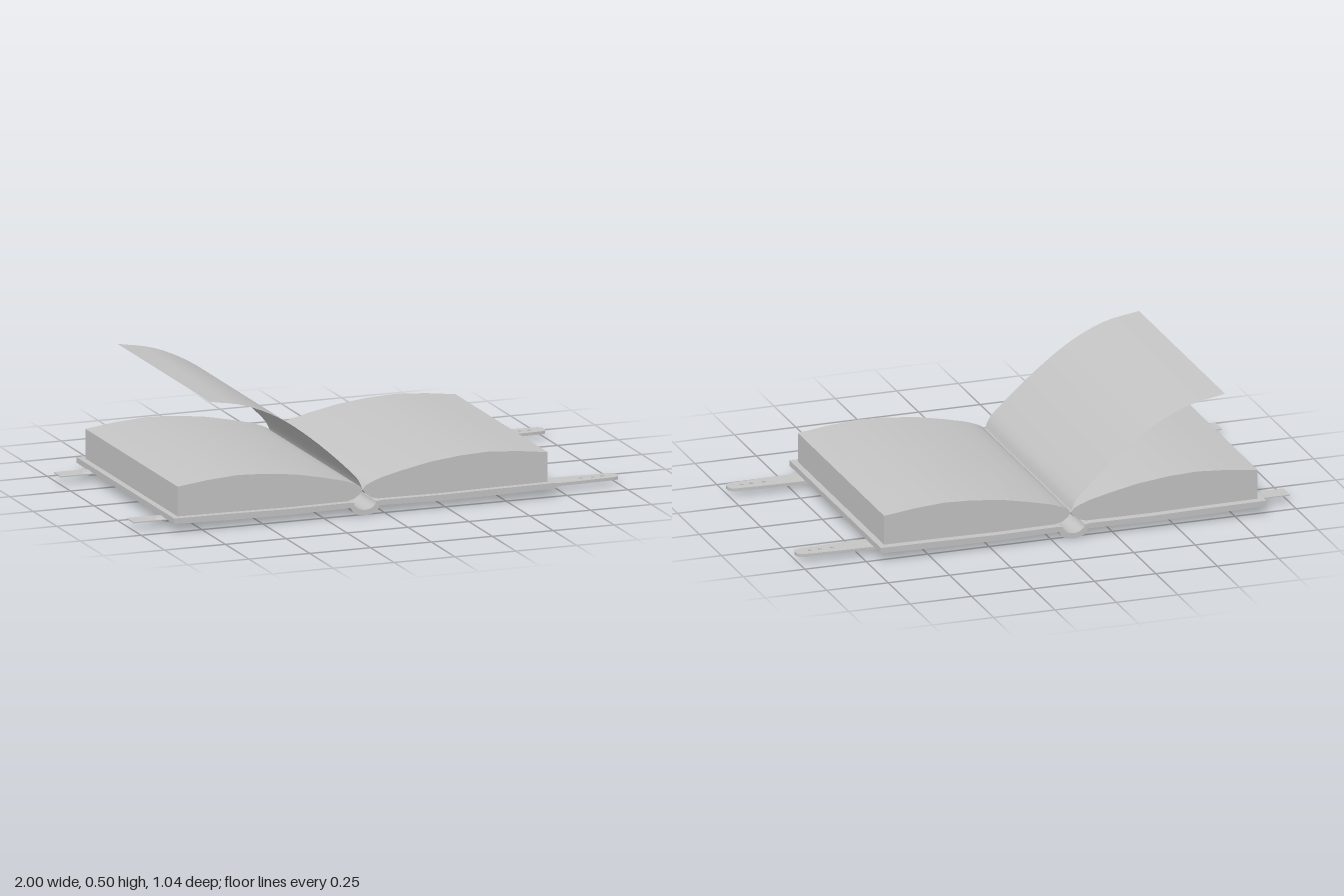
import * as THREE from 'three';
import { toCreasedNormals } from 'three/addons/utils/BufferGeometryUtils.js';

const grey = new THREE.MeshStandardMaterial({ color: 0xc4c4c4 });
grey.name = 'grey';
const thinGrey = new THREE.MeshStandardMaterial({ color: 0xc4c4c4, side: THREE.DoubleSide });
thinGrey.name = 'thin grey';

function addMesh(group, name, geometry, material = grey) {
  const mesh = new THREE.Mesh(geometry, material);
  mesh.name = name;
  group.add(mesh);
  return mesh;
}

// Front profile (x, y) swept along z
function sweep(points, z0, z1, crease = 0.6) {
  const shape = new THREE.Shape(points.map(([x, y]) => new THREE.Vector2(x, y)));
  const geo = new THREE.ExtrudeGeometry(shape, { depth: z1 - z0, bevelEnabled: false });
  geo.translate(0, 0, z0);
  return toCreasedNormals(geo, crease);
}

// Solid with elliptical sections [x, y, halfHeight, halfWidth], ordered by rising x
function loft(sections, n = 16) {
  const pos = [], idx = [];
  for (const [x, y, h, w] of sections)
    for (let i = 0; i < n; i++) {
      const a = (i / n) * Math.PI * 2;
      pos.push(x, y + h * Math.sin(a), w * Math.cos(a));
    }
  for (let s = 0; s < sections.length - 1; s++)
    for (let i = 0; i < n; i++) {
      const a = s * n + i, b = s * n + (i + 1) % n;
      idx.push(a, a + n, b, b, a + n, b + n);
    }
  const geo = new THREE.BufferGeometry();
  geo.setAttribute('position', new THREE.Float32BufferAttribute(pos, 3));
  geo.setIndex(idx);
  return toCreasedNormals(geo, 0.8);
}

// Flat strap lying in the xz plane, with optional punched holes
function strap(outline, y, thickness, holes = []) {
  const shape = new THREE.Shape(outline.map(([x, z]) => new THREE.Vector2(x, z)));
  for (const x of holes) {
    const hole = new THREE.Path();
    hole.absarc(x, 0, 0.008, 0, Math.PI * 2, true);
    shape.holes.push(hole);
  }
  const geo = new THREE.ExtrudeGeometry(shape, { depth: thickness, bevelEnabled: false, curveSegments: 6 });
  geo.rotateX(-Math.PI / 2);
  geo.translate(0, y, 0);
  return toCreasedNormals(geo, 0.6);
}

const mirrorOutline = (half) => [...half.map(([x, z]) => [x, -z]), ...half.slice().reverse()];

export function createModel() {
  const book = new THREE.Group();
  book.name = 'openBook';

  // Cover: two slightly bowed boards joined by a rounded spine
  const spineX = -0.085;
  const arc = (r, cy, ry, from, to) => Array.from({ length: 13 }, (_, i) => {
    const a = Math.PI * (from + (to - from) * i / 12);
    return [spineX + r * Math.cos(a), cy + ry * Math.sin(a)];
  });
  addMesh(book, 'cover', sweep([
    [-0.87, 0.036], [-0.62, 0.031], [-0.4, 0.029], [-0.155, 0.034],
    ...arc(0.058, 0.034, 0.034, 1, 2),
    [-0.015, 0.034], [0.23, 0.029], [0.45, 0.031], [0.7, 0.036],
    [0.7, 0.058], [0.45, 0.056], [0.23, 0.053], [-0.015, 0.055],
    ...arc(0.045, 0.052, 0.03, 2, 1),
    [-0.155, 0.055], [-0.4, 0.053], [-0.62, 0.056], [-0.87, 0.058],
  ], -0.525, 0.515));

  // Page blocks
  const block = [
    [0, 0.095], [0.012, 0.078], [0.035, 0.062], [0.07, 0.053], [0.3, 0.05],
    [0.76, 0.05], [0.76, 0.175], [0.64, 0.19], [0.515, 0.199], [0.4, 0.194],
    [0.275, 0.18], [0.17, 0.159], [0.08, 0.138], [0.035, 0.122], [0.012, 0.11],
  ];
  addMesh(book, 'rightHandPages', sweep(block.map(([x, y]) => [spineX + x, y]), -0.493, 0.488, 0.5));
  addMesh(book, 'leftHandPages',
    sweep(block.map(([x, y]) => [spineX - x, y]).reverse(), -0.493, 0.488, 0.5));

  // Single lifted page
  const curve = new THREE.CatmullRomCurve3([
    [-0.085, 0.09], [-0.105, 0.135], [-0.15, 0.185], [-0.295, 0.315],
    [-0.43, 0.41], [-0.57, 0.472], [-0.715, 0.5],
  ].map(([x, y]) => new THREE.Vector3(x, y, 0)));
  const page = new THREE.PlaneGeometry(1, 1, 24, 1);
  const pos = page.attributes.position;
  for (let i = 0; i < pos.count; i++) {
    const t = 0.5 - pos.getX(i);
    const p = curve.getPoint(t);
    const front = pos.getY(i) < 0;
    pos.setXYZ(i, p.x, p.y, front ? 0.49 + 0.005 * Math.sin(t * 9) : -0.488);
  }
  page.computeVertexNormals();
  addMesh(book, 'liftedPage', page, thinGrey);

  // Straps under both boards
  const longOutline = mirrorOutline([[0.58, 0.046], [0.7, 0.046], [0.85, 0.041], [0.975, 0.034], [0.992, 0.028], [1, 0.012]]);
  const tabOutline = mirrorOutline([[-1, 0.037], [-0.84, 0.037]]);
  for (const z of [-0.392, 0.385]) {
    const straps = new THREE.Group();
    straps.name = z < 0 ? 'backStraps' : 'frontStraps';
    straps.position.z = z;
    addMesh(straps, 'longStrap', strap(longOutline, 0.021, 0.012, [0.85, 0.9, 0.94]));
    addMesh(straps, 'longStrapRoot', loft([
      [0.49, 0.028, 0, 0], [0.52, 0.026, 0.008, 0.024], [0.55, 0.024, 0.011, 0.045],
      [0.58, 0.024, 0.014, 0.051], [0.64, 0.024, 0.013, 0.048], [0.7, 0.026, 0.009, 0.045], [0.78, 0.027, 0, 0.04],
    ]));
    addMesh(straps, 'shortTab', strap(tabOutline, 0.029, 0.004));
    addMesh(straps, 'shortTabRoot', loft([
      [-0.905, 0.031, 0, 0.028], [-0.9, 0.031, 0.007, 0.031], [-0.86, 0.029, 0.01, 0.038],
      [-0.8, 0.025, 0.013, 0.048], [-0.745, 0.025, 0.014, 0.051], [-0.7, 0.027, 0.01, 0.036], [-0.65, 0.03, 0, 0],
    ]));
    book.add(straps);
  }
  return book;
}
